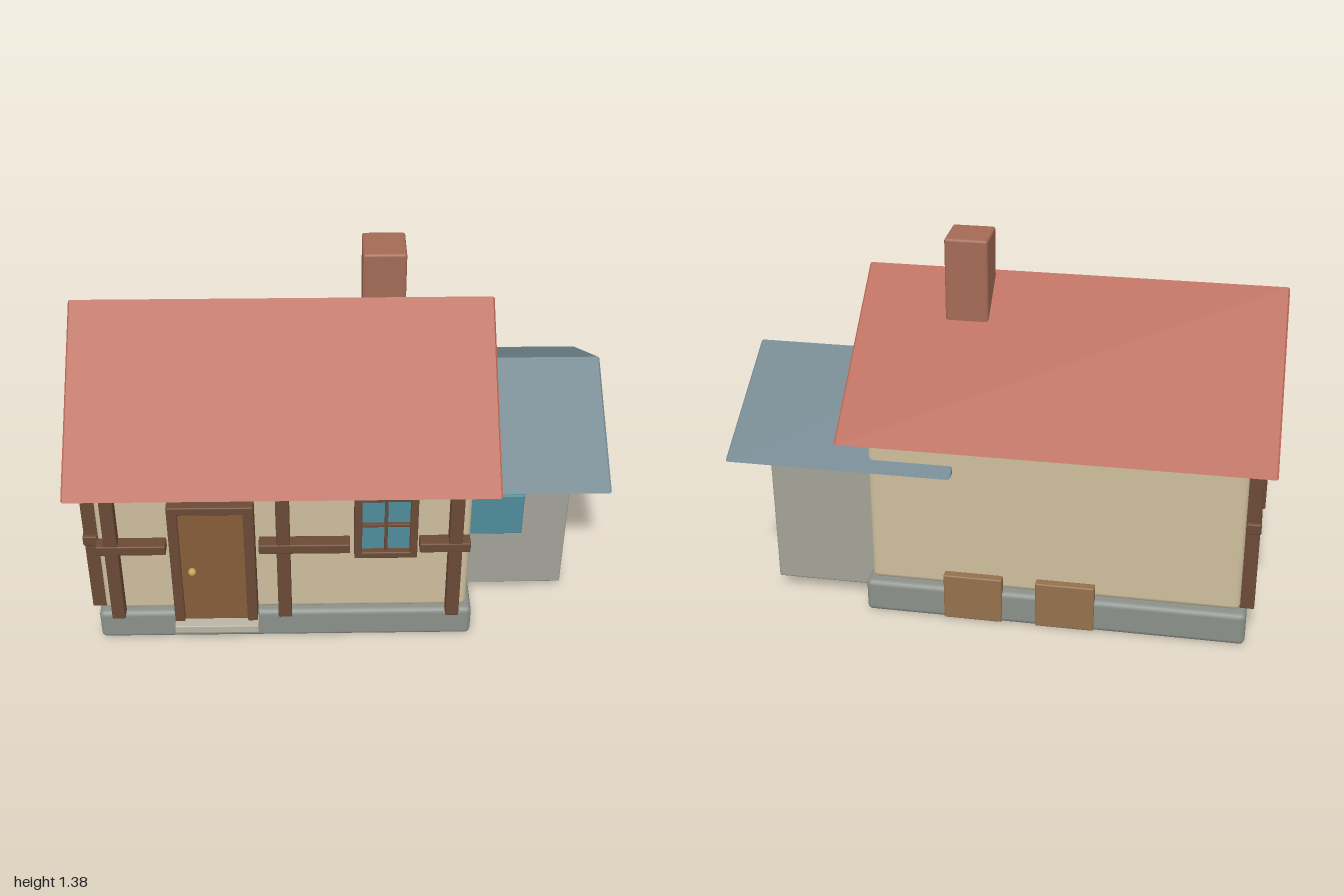
import * as THREE from 'three';
import { RoundedBoxGeometry } from 'three/addons/geometries/RoundedBoxGeometry.js';

const mat = (color) => new THREE.MeshStandardMaterial({ color });
const M = {
  roof: mat(0xb4634f), slate: mat(0x71858e), plaster: mat(0xcdbd9c), stone: mat(0x8b908a),
  annex: mat(0xa3a298), timber: mat(0x6b4a36), door: mat(0x875c39), glass: mat(0x4f8b99),
  brick: mat(0xa36a56), hatch: mat(0x94704c), step: mat(0xb9b4a4), brass: mat(0xc4a352),
};

// Rounded box given by its limits on each axis
function block(parent, name, material, [x0, x1], [y0, y1], [z0, z1], r = 0.005) {
  const geo = new RoundedBoxGeometry(x1 - x0, y1 - y0, z1 - z0, 2, r);
  const mesh = new THREE.Mesh(geo, material);
  mesh.name = name;
  mesh.position.set((x0 + x1) / 2, (y0 + y1) / 2, (z0 + z1) / 2);
  parent.add(mesh);
  return mesh;
}

// Solid gable prism with its ridge along x
function gable(parent, name, material, [x0, x1], [y0, y1], [z0, z1], ridgeZ) {
  const b = 0.006;
  const shape = new THREE.Shape([
    new THREE.Vector2(-z1, y0), new THREE.Vector2(-z0, y0), new THREE.Vector2(-ridgeZ, y1),
  ]);
  const geo = new THREE.ExtrudeGeometry(shape, {
    depth: x1 - x0 - 2 * b, bevelEnabled: true, bevelThickness: b, bevelSize: b,
    bevelOffset: -b, bevelSegments: 1,
  });
  geo.translate(0, 0, x0 + b);
  geo.rotateY(Math.PI / 2);
  const mesh = new THREE.Mesh(geo, material);
  mesh.name = name;
  parent.add(mesh);
}

// Framed window with a cross of glazing bars, facing +z, back at z = 0
function windowUnit(w, h, depth) {
  const g = new THREE.Group();
  g.name = 'window';
  const f = 0.028, x = w / 2, y = h / 2, d = depth;
  for (const s of [-1, 1]) {
    const px = s * (x - f / 2), py = s * (y - f / 2);
    block(g, 'windowJamb', M.timber, [px - f / 2, px + f / 2], [-y, y], [0, d]);
    block(g, 'windowRail', M.timber, [-x, x], [py - f / 2, py + f / 2], [0, d]);
  }
  block(g, 'windowPane', M.glass, [-x + 0.01, x - 0.01], [-y + 0.01, y - 0.01], [0, d * 0.65]);
  block(g, 'glazingBarUpright', M.timber, [-0.006, 0.006], [-y + f, y - f], [0, d * 0.85], 0.002);
  block(g, 'glazingBarCross', M.timber, [-x + f, x - f], [-0.006, 0.006], [0, d * 0.85], 0.002);
  return g;
}

export function createModel() {
  const house = new THREE.Group();
  house.name = 'cottage';

  // Main body
  block(house, 'foundation', M.stone, [-0.93, 0.49], [0, 0.13], [-0.535, 0.525], 0.02);
  block(house, 'walls', M.plaster, [-0.905, 0.47], [0.13, 0.735], [-0.505, 0.5], 0.02);
  gable(house, 'mainRoof', M.roof, [-1, 0.565], [0.735, 1.206], [-0.6, 0.59], -0.003);
  block(house, 'chimney', M.brick, [0.08, 0.24], [0.85, 1.38], [-0.18, -0.012], 0.01);

  // Side annex
  block(house, 'annexWalls', M.annex, [0.285, 0.865], [0.05, 0.597], [-0.437, 0.292], 0.008);
  gable(house, 'annexRoof', M.slate, [0.155, 0.995], [0.605, 0.885], [-0.555, 0.41], -0.072);
  block(house, 'annexWindow', M.glass, [0.48, 0.69], [0.335, 0.525], [0.308, 0.325], 0.006);

  // Front timber framing
  for (const x of [-0.85, -0.22, 0.412])
    block(house, 'frontPost', M.timber, [x - 0.025, x + 0.025], [0.13, 0.737], [0.505, 0.556]);
  for (const span of [[-0.905, -0.65], [-0.31, 0.025], [0.28, 0.467]])
    block(house, 'frontBeam', M.timber, span, [0.453, 0.495], [0.503, 0.558]);

  // Left-hand gable wall framing and windows
  for (const z of [-0.46, 0, 0.46])
    block(house, 'sidePost', M.timber, [-0.956, -0.903], [0.13, 0.737], [z - 0.025, z + 0.025]);
  for (const span of [[-0.5, -0.36], [-0.115, 0.115], [0.36, 0.5]])
    block(house, 'sideBeam', M.timber, [-0.959, -0.905], [0.453, 0.495], span);
  for (const z of [-0.235, 0.235]) {
    const win = windowUnit(0.23, 0.25, 0.065);
    win.position.set(-0.904, 0.6, z);
    win.rotation.y = -Math.PI / 2;
    house.add(win);
  }

  // Front window
  const frontWindow = windowUnit(0.23, 0.295, 0.072);
  frontWindow.position.set(0.155, 0.588, 0.5);
  house.add(frontWindow);

  // Door with frame, knob and step
  const door = new THREE.Group();
  door.name = 'frontDoor';
  block(door, 'doorJamb', M.timber, [-0.635, -0.597], [0.13, 0.69], [0.5, 0.573]);
  block(door, 'doorJamb', M.timber, [-0.361, -0.323], [0.13, 0.69], [0.5, 0.573]);
  block(door, 'doorLintel', M.timber, [-0.635, -0.323], [0.655, 0.69], [0.5, 0.573]);
  block(door, 'doorLeaf', M.door, [-0.6, -0.358], [0.13, 0.658], [0.5, 0.56]);
  const knob = new THREE.Mesh(new THREE.SphereGeometry(0.015, 16, 12), M.brass);
  knob.name = 'doorKnob';
  knob.position.set(-0.556, 0.391, 0.58);
  door.add(knob);
  block(door, 'doorStep', M.step, [-0.635, -0.32], [0.095, 0.13], [0.49, 0.6], 0.004);
  house.add(door);

  // Cellar hatches at the back
  for (const x of [0.08, -0.265])
    block(house, 'cellarHatch', M.hatch, [x - 0.11, x + 0.11], [0.005, 0.19], [-0.542, -0.505], 0.006);

  return house;
}
